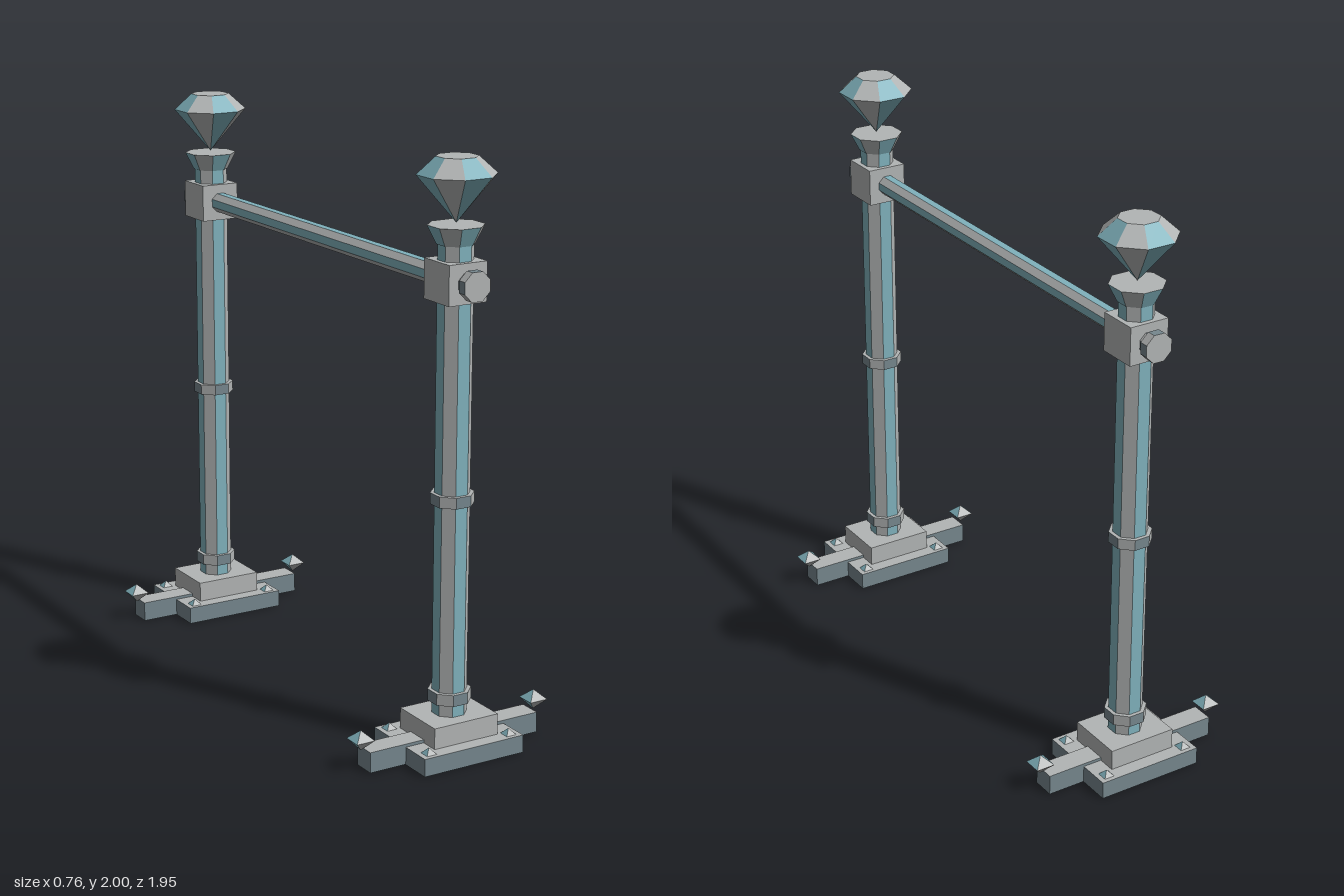
import * as THREE from 'three';

const mat = (name, color) => {
  const m = new THREE.MeshStandardMaterial({ color });
  m.name = name;
  return m;
};

export function createModel() {
  const grey = mat('stone grey', 0xb2b5b5);
  const blue = mat('pale blue', 0x80b2bd);
  const slate = mat('slate', 0x76878e);

  // Split a geometry into two material groups; accent(normal) picks the second
  function paint(geometry, accent) {
    const g = geometry.index ? geometry.toNonIndexed() : geometry;
    g.computeVertexNormals();
    g.clearGroups();
    const n = new THREE.Vector3();
    for (let i = 0; i < g.attributes.position.count; i += 3) {
      n.fromBufferAttribute(g.attributes.normal, i);
      g.addGroup(i, 3, accent(n) ? 1 : 0);
    }
    return g;
  }

  // Sides that face along x or z, but not flat tops and bottoms
  const axial = n => Math.hypot(n.x, n.z) > 0.1 && Math.min(Math.abs(n.x), Math.abs(n.z)) < 0.01;
  const alongX = n => Math.abs(n.x) > 0.1;
  const notTop = n => n.y < 0.5;

  function add(parent, name, geometry, material, x = 0, y = 0, z = 0) {
    const mesh = new THREE.Mesh(geometry, material);
    mesh.name = name;
    mesh.position.set(x, y, z);
    parent.add(mesh);
    return mesh;
  }

  // Prism given by the distance from its axis to its flat sides
  function prism(parent, name, top, bottom, y0, y1, accent = blue, sides = 8, rule = axial, x = 0, z = 0) {
    const k = Math.cos(Math.PI / sides);
    const g = new THREE.CylinderGeometry(top / k, bottom / k, y1 - y0, sides, 1, top === 0 || bottom === 0);
    g.rotateY(Math.PI / sides);
    return add(parent, name, paint(g, rule), [grey, accent], x, (y0 + y1) / 2, z);
  }

  function box(parent, name, w, y0, y1, d, sideMaterial) {
    const g = paint(new THREE.BoxGeometry(w, y1 - y0, d), notTop);
    add(parent, name, g, [grey, sideMaterial], 0, (y0 + y1) / 2, 0);
  }

  function makePost() {
    const post = new THREE.Group();

    // Stepped foot with a cross bar
    box(post, 'footSlab', 0.39, 0, 0.062, 0.31, slate);
    box(post, 'footBar', 0.665, 0.001, 0.073, 0.08, slate);
    box(post, 'footBlock', 0.25, 0.062, 0.135, 0.21, grey);
    for (const sx of [-1, 1]) {
      for (const sz of [-1, 1]) {
        prism(post, 'cornerStud', 0, 0.019, 0.062, 0.083, blue, 4, alongX, sx * 0.158, sz * 0.121);
      }
      prism(post, 'smallGemUpper', 0, 0.034, 0.108, 0.14, blue, 4, alongX, sx * 0.345);
      prism(post, 'smallGemLower', 0.034, 0, 0.07, 0.108, blue, 4, alongX, sx * 0.345);
    }

    // Column, rings and joint block
    prism(post, 'column', 0.055, 0.055, 0.13, 1.73);
    prism(post, 'lowerRing', 0.068, 0.068, 0.178, 0.218, slate);
    prism(post, 'middleRing', 0.068, 0.068, 0.862, 0.9, slate);
    box(post, 'jointBlock', 0.144, 1.537, 1.67, 0.144, grey);

    // Round end cap on the outer side
    const cap = new THREE.Group();
    cap.name = 'endCap';
    prism(cap, 'capNeck', 0.036, 0.036, 0.06, 0.095, slate);
    prism(cap, 'capHead', 0.048, 0.048, 0.092, 0.125, slate);
    cap.rotation.x = Math.PI / 2;
    cap.position.y = 1.603;
    post.add(cap);

    // Flared holder and faceted gem
    prism(post, 'gemHolder', 0.087, 0.058, 1.72, 1.782);
    prism(post, 'gemLower', 0.122, 0, 1.787, 1.943);
    prism(post, 'gemCrown', 0.064, 0.122, 1.943, 2.0);
    return post;
  }

  const model = new THREE.Group();
  model.name = 'gate';
  for (const s of [1, -1]) {
    const post = makePost();
    post.name = s > 0 ? 'frontPost' : 'backPost';
    post.position.z = s * 0.82;
    if (s < 0) post.rotation.y = Math.PI;
    model.add(post);
  }

  // Rail joining the posts
  const rail = prism(model, 'rail', 0.034, 0.034, -0.76, 0.76);
  rail.rotation.x = Math.PI / 2;
  rail.position.set(0, 1.603, 0);
  return model;
}
